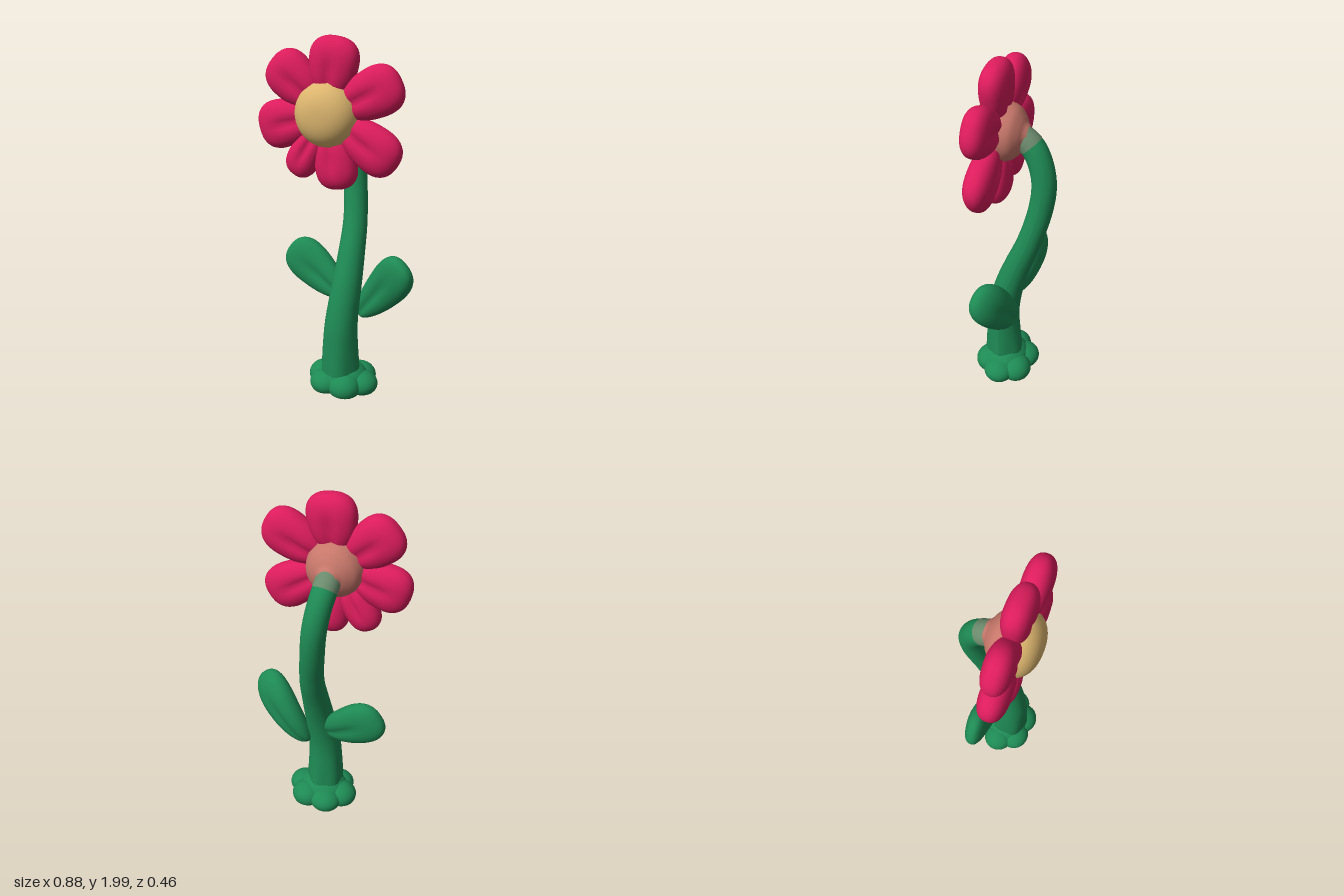
import * as THREE from 'three';

const V = (x, y, z) => new THREE.Vector3(x, y, z);
const { lerp, smoothstep } = THREE.MathUtils;

export function createModel() {
  const root = new THREE.Group();
  root.name = 'flower';

  const mat = (name, color) => {
    const m = new THREE.MeshStandardMaterial({ color });
    m.name = name;
    return m;
  };
  const green = mat('leaf green', 0x1e8a54);
  const pink = mat('petal pink', 0xdc1c5c);
  const gold = mat('centre gold', 0xdcb56e);
  const salmon = mat('calyx salmon', 0xc7776a);
  const sage = mat('neck sage', 0x6b8a6c);

  const add = (name, geo, material, parent = root) => {
    const mesh = new THREE.Mesh(geo, material);
    mesh.name = name;
    parent.add(mesh);
    return mesh;
  };

  // Plump egg-shaped pad from base to tip, broad at the tip, with a midrib groove and a bend
  function pad(base, tip, halfWidth, halfThick, facing, { egg = 0.3, groove = 0.25, bend = 0 } = {}) {
    const geo = new THREE.SphereGeometry(1, 36, 28);
    const p = geo.attributes.position;
    const length = base.distanceTo(tip);
    const v = V(0, 0, 0);
    for (let i = 0; i < p.count; i++) {
      v.fromBufferAttribute(p, i);
      v.multiplyScalar((Math.abs(v.x) ** 2.4 + Math.abs(v.y) ** 2.4 + Math.abs(v.z) ** 2.4) ** (-1 / 2.4));
      const crease = 1 - groove * Math.exp(-((v.x / 0.2) ** 2)) * (1 - smoothstep(v.y, -0.2, 0.7));
      p.setXYZ(i,
        v.x * (1 + egg * v.y) * halfWidth * 0.97,
        (v.y + 1) * length / 2,
        v.z * (1 + egg * 0.4 * v.y) * halfThick * crease + bend * (1 - v.y * v.y));
    }
    const yAxis = tip.clone().sub(base).normalize();
    const xAxis = yAxis.clone().cross(facing).normalize();
    const zAxis = xAxis.clone().cross(yAxis);
    geo.applyMatrix4(new THREE.Matrix4().makeBasis(xAxis, yAxis, zAxis).setPosition(base));
    geo.computeVertexNormals();
    return geo;
  }

  // Tube along part of a curve, with a radius that varies along it
  function taperedTube(curve, from, to, radius, segments) {
    const pts = [];
    for (let i = 0; i <= 24; i++) pts.push(curve.getPointAt(from + (to - from) * i / 24));
    const part = new THREE.CatmullRomCurve3(pts);
    const sides = 28;
    const geo = new THREE.TubeGeometry(part, segments, 1, sides);
    const p = geo.attributes.position;
    const v = V(0, 0, 0);
    for (let i = 0; i < p.count; i++) {
      const u = Math.floor(i / (sides + 1)) / segments;
      const c = part.getPointAt(u);
      v.fromBufferAttribute(p, i).sub(c);
      const angle = (i % (sides + 1)) / sides * Math.PI * 2;
      v.multiplyScalar(radius(from + (to - from) * u, angle)).add(c);
      p.setXYZ(i, v.x, v.y, v.z);
    }
    geo.computeVertexNormals();
    return geo;
  }

  // Curving stem, faintly ribbed near the ground; the neck overlaps its upper end
  const path = new THREE.CatmullRomCurve3([
    V(0.02, 0.03, 0.045), V(0.02, 0.25, 0.055), V(0.025, 0.42, 0.055), V(0.04, 0.62, 0.02),
    V(0.045, 0.8, -0.035), V(0.04, 0.98, -0.1), V(0.015, 1.2, -0.155), V(0, 1.35, -0.165),
    V(-0.015, 1.47, -0.135), V(-0.027, 1.55, -0.085), V(-0.03, 1.6, -0.01),
  ]);
  const stemRadius = (t, a) => {
    const low = 1 - smoothstep(t, 0, 0.3);
    const upper = lerp(0.09, 0.066, smoothstep(t, 0.2, 0.65));
    return lerp(upper, 0.108, low) * (1 + 0.05 * low * Math.cos(5 * a));
  };
  add('stem', taperedTube(path, 0, 0.98, stemRadius, 84), green);
  add('neck', taperedTube(path, 0.945, 1, (t) => lerp(0.0675, 0.069, (t - 0.945) / 0.055), 10), sage);

  // Lobed foot with a flat underside
  const foot = new THREE.Group();
  foot.name = 'foot';
  root.add(foot);
  const lobe = (name, x, z, rx, rz, h, y) => {
    const geo = new THREE.SphereGeometry(1, 28, 20).scale(rx, h, rz).translate(x, y, z);
    const p = geo.attributes.position;
    for (let i = 0; i < p.count; i++) p.setY(i, Math.max(p.getY(i), 0.012));
    geo.computeVertexNormals();
    add(name, geo, green, foot);
  };
  for (let i = 0; i < 6; i++) {
    const a = i / 6 * Math.PI * 2 + 0.12;
    lobe('footLobe', 0.025 + 0.118 * Math.cos(a), 0.03 + 0.095 * Math.sin(a), 0.094, 0.09, i % 2 ? 0.078 : 0.07, 0.054);
  }
  lobe('footCore', 0.025, 0.035, 0.155, 0.135, 0.12, 0.055);

  // Two leaves
  add('leftLeaf', pad(V(0.1, 0.45, -0.02), V(0.395, 0.825, 0.07), 0.112, 0.068, V(0.1, 0.45, 1),
    { bend: -0.03 }), green);
  add('rightLeaf', pad(V(0.0, 0.56, 0.0), V(-0.34, 0.785, -0.05), 0.122, 0.06, V(-0.1, 0.1, 1),
    { bend: -0.015 }), green);

  // Ring of seven petals
  const petals = new THREE.Group();
  petals.name = 'petals';
  root.add(petals);
  const hub = V(-0.03, 1.6, 0.09);
  [ // tip x, tip y, half width
    [0.015, 2.0, 0.133], [0.362, 1.8, 0.13], [0.35, 1.36, 0.125], [0.03, 1.205, 0.115],
    [-0.23, 1.26, 0.09], [-0.428, 1.495, 0.13], [-0.345, 1.87, 0.13],
  ].forEach(([x, y, w]) => {
    const tip = V(x, y, 0.09);
    const base = hub.clone().add(tip.clone().sub(hub).setLength(0.09));
    add('petal', pad(base, tip, w, 0.076, V(0, 0, 1), { egg: 0.18 }), pink, petals);
  });

  // Domed centre at the front, slightly flattened
  const arc = [];
  for (let i = 0; i <= 20; i++) {
    const a = i / 20 * Math.PI / 2;
    arc.push(new THREE.Vector2(i < 20 ? 0.177 * Math.cos(a) ** 0.85 : 0, 0.145 * Math.sin(a) ** 0.85));
  }
  add('centre', new THREE.LatheGeometry(arc, 44).rotateX(Math.PI / 2).translate(-0.033, 1.603, 0.083), gold);

  // Calyx behind the petals, tapering to the neck
  const profile = new THREE.SplineCurve([[0.05, -0.07], [0.068, -0.052], [0.1, -0.033], [0.14, 0.005], [0.165, 0.085]]
    .map(([r, z]) => new THREE.Vector2(r, z))).getPoints(16);
  add('calyx', new THREE.LatheGeometry(profile, 40).rotateX(Math.PI / 2).translate(-0.03, 1.603, 0), salmon);

  return root;
}
